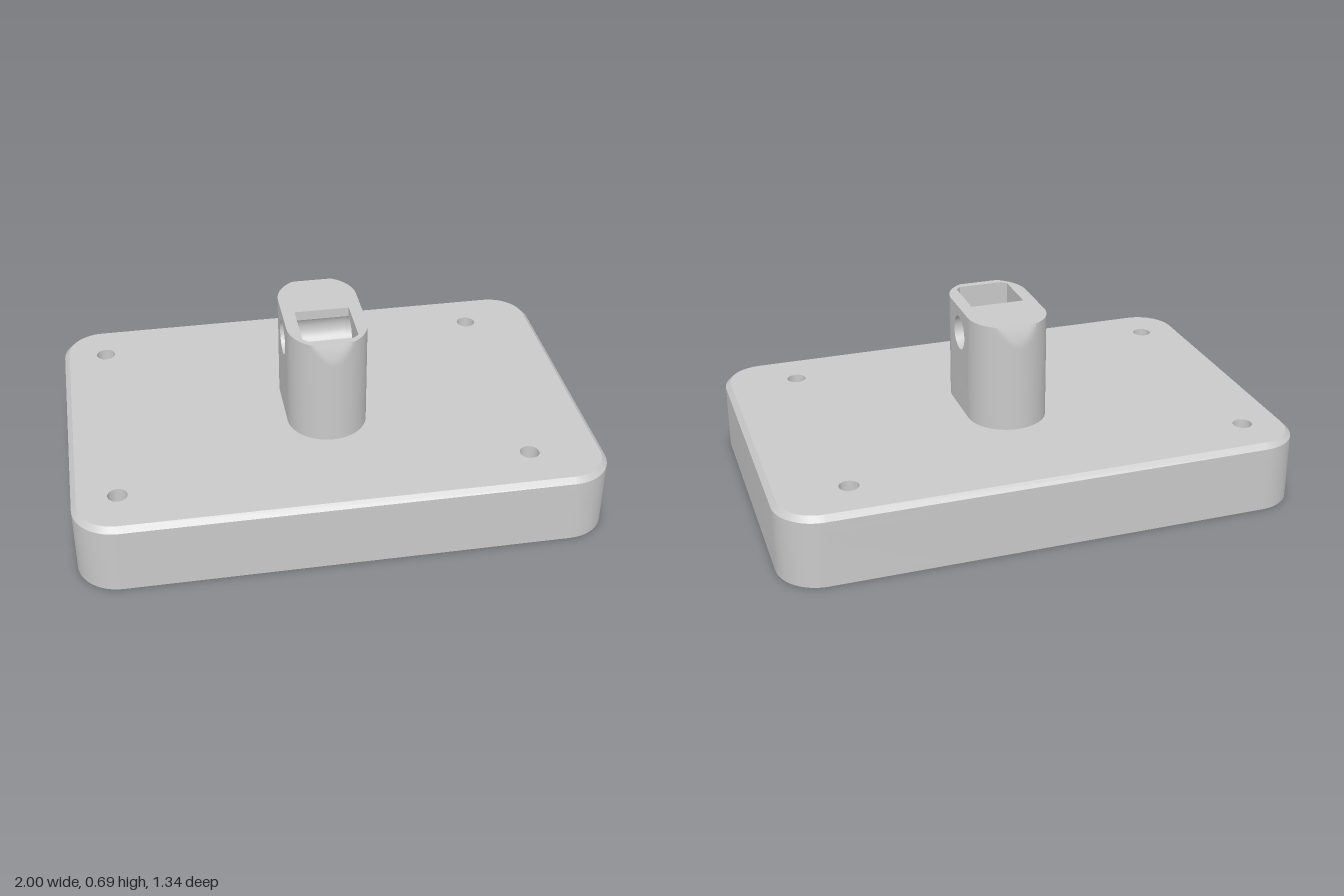
import * as THREE from 'three';
import { toCreasedNormals } from 'three/addons/utils/BufferGeometryUtils.js';

const grey = new THREE.MeshStandardMaterial({ color: 0xc9c9c9 });
grey.name = 'grey plastic';

// Points of an arc, as [u, v] pairs
function arc(cu, cv, r, from, to, n) {
  return Array.from({ length: n + 1 }, (_, i) => {
    const a = from + ((to - from) * i) / n;
    return [cu + r * Math.cos(a), cv + r * Math.sin(a)];
  });
}
const circle = (cu, cv, r) => arc(cu, cv, r, 0, Math.PI * 2, 32).slice(0, -1);
const rect = (u0, u1, v0, v1) => [[u0, v0], [u1, v0], [u1, v1], [u0, v1]];

// Case outline, inset from the outer edge
const CX = 0.84, CZ = 0.51, R = 0.16;
function outline(inset) {
  const corners = [[1, 1], [-1, 1], [-1, -1], [1, -1]];
  return corners.flatMap(([sx, sz], i) =>
    arc(sx * CX, sz * CZ, R - inset, (i * Math.PI) / 2, ((i + 1) * Math.PI) / 2, 12));
}

function extrude(points, holes, depth, steps, flip) {
  // Counter-clockwise outlines keep every wall facing outward
  const vec = (list) => {
    const v = list.map(([a, b]) => new THREE.Vector2(a * flip[0], b * flip[1]));
    return THREE.ShapeUtils.isClockWise(v) ? v.reverse() : v;
  };
  const shape = new THREE.Shape(vec(points));
  shape.holes = holes.map((h) => new THREE.Path(vec(h)));
  return new THREE.ExtrudeGeometry(shape, { depth, steps, bevelEnabled: false });
}

// Plan outline in (x, z), raised from y0 to y1
function raise(points, holes, y0, y1, steps = 1) {
  return extrude(points, holes, y1 - y0, steps, [1, -1]).rotateX(-Math.PI / 2).translate(0, y0, 0);
}

// Side outline in (z, y), running from x0 to x1
function across(points, holes, x0, x1) {
  return extrude(points, holes, x1 - x0, 1, [-1, 1]).rotateY(Math.PI / 2).translate(x0, 0, 0);
}

function moveVertices(geometry, rule) {
  const pos = geometry.attributes.position;
  const p = new THREE.Vector3();
  for (let i = 0; i < pos.count; i++) {
    p.fromBufferAttribute(pos, i);
    rule(p);
    pos.setXYZ(i, p.x, p.y, p.z);
  }
  return geometry;
}

export function createModel() {
  const model = new THREE.Group();
  model.name = 'mountCase';
  const add = (name, geometry, parent) => {
    const mesh = new THREE.Mesh(toCreasedNormals(geometry, 0.5), grey);
    mesh.name = name;
    parent.add(mesh);
  };

  // Hollow case, open below, with a stepped rim
  const body = new THREE.Group();
  body.name = 'caseBody';
  model.add(body);
  const screwHoles = [-0.83, 0.715].flatMap((x) => [-0.48, 0.475].map((z) => circle(x, z, 0.037)));
  const shaft = rect(-0.055, 0.055, -0.165, 0.178);
  const channel = rect(-0.27, 0.9, -0.17, 0.18);
  const recess = rect(-0.8, -0.72, -0.28, 0.22);
  const ceiling = 0.215, recessTop = 0.25, edge = 0.257, deck = 0.277;

  add('rimLip', raise(outline(0), [outline(0.025)], 0, 0.02), body);
  add('sideWalls', raise(outline(0), [outline(0.055)], 0.02, ceiling), body);
  add('recessedCeiling', raise(outline(0), [...screwHoles, channel, recess], ceiling, recessTop), body);
  add('topPlate', raise(outline(0), [...screwHoles, shaft], recessTop, edge), body);
  // Chamfered top edge
  const chamfer = raise(outline(0), [...screwHoles, shaft], edge, deck);
  add('chamferedDeck', moveVertices(chamfer, (p) => {
    const outer = Math.abs(p.x) > 0.9 || Math.abs(p.z) > 0.6;
    if (!outer || p.y < deck - 0.001) return;
    const cx = THREE.MathUtils.clamp(p.x, -CX, CX);
    const cz = THREE.MathUtils.clamp(p.z, -CZ, CZ);
    const k = 1 - 0.02 / R;
    p.x = cx + (p.x - cx) * k;
    p.z = cz + (p.z - cz) * k;
  }), body);

  // Post with an open pocket and a cross hole
  const post = new THREE.Group();
  post.name = 'post';
  model.add(post);
  const floor = 0.4, top = 0.695, half = 0.153, inner = 0.105, back = -0.097, front = 0.117;
  const pocketBack = 0.004, hz = 0.012, hy = 0.592, hr = 0.066;
  const frontArc = arc(0, front, half, 0, Math.PI, 32);
  const backArc = arc(0, back, half, Math.PI, 2 * Math.PI, 32);

  // Lower post, pierced by the shaft; its top is the pocket floor
  add('postBase', raise([...frontArc, ...backArc], [shaft], deck, floor), post);

  const wall = rect(back, front, floor, top);
  add('leftPostWall', across(wall, [circle(hz, hy, hr)], inner, half), post);
  add('rightPostWall', across(wall, [circle(hz, hy, hr)], -half, -inner), post);

  // Solid core behind the pocket, notched by the cross hole
  const a0 = Math.acos((pocketBack - hz) / hr);
  const core = [[back, floor], [pocketBack, floor],
    ...arc(hz, hy, hr, 2 * Math.PI - a0, a0, 20),
    [pocketBack, top], [back, top]];
  add('postCore', across(core, [], -inner, inner), post);

  // Rounded ends, their tips easing inward near the top
  const ease = (p) => {
    const t = Math.max(0, (p.y - 0.61) / (top - 0.61));
    const cut = 0.021 * Math.pow(t, 1.5);
    p.z = THREE.MathUtils.clamp(p.z, -0.25 + cut, 0.27 - cut);
  };
  const frontEnd = [...frontArc,
    [-inner, front], [-inner, 0.2], [-0.085, 0.22], [0.085, 0.22], [inner, 0.2], [inner, front]];
  add('postFrontEnd', moveVertices(raise(frontEnd, [], floor, top, 24), ease), post);
  add('postBackEnd', moveVertices(raise(backArc, [], floor, top, 24), ease), post);

  return model;
}
